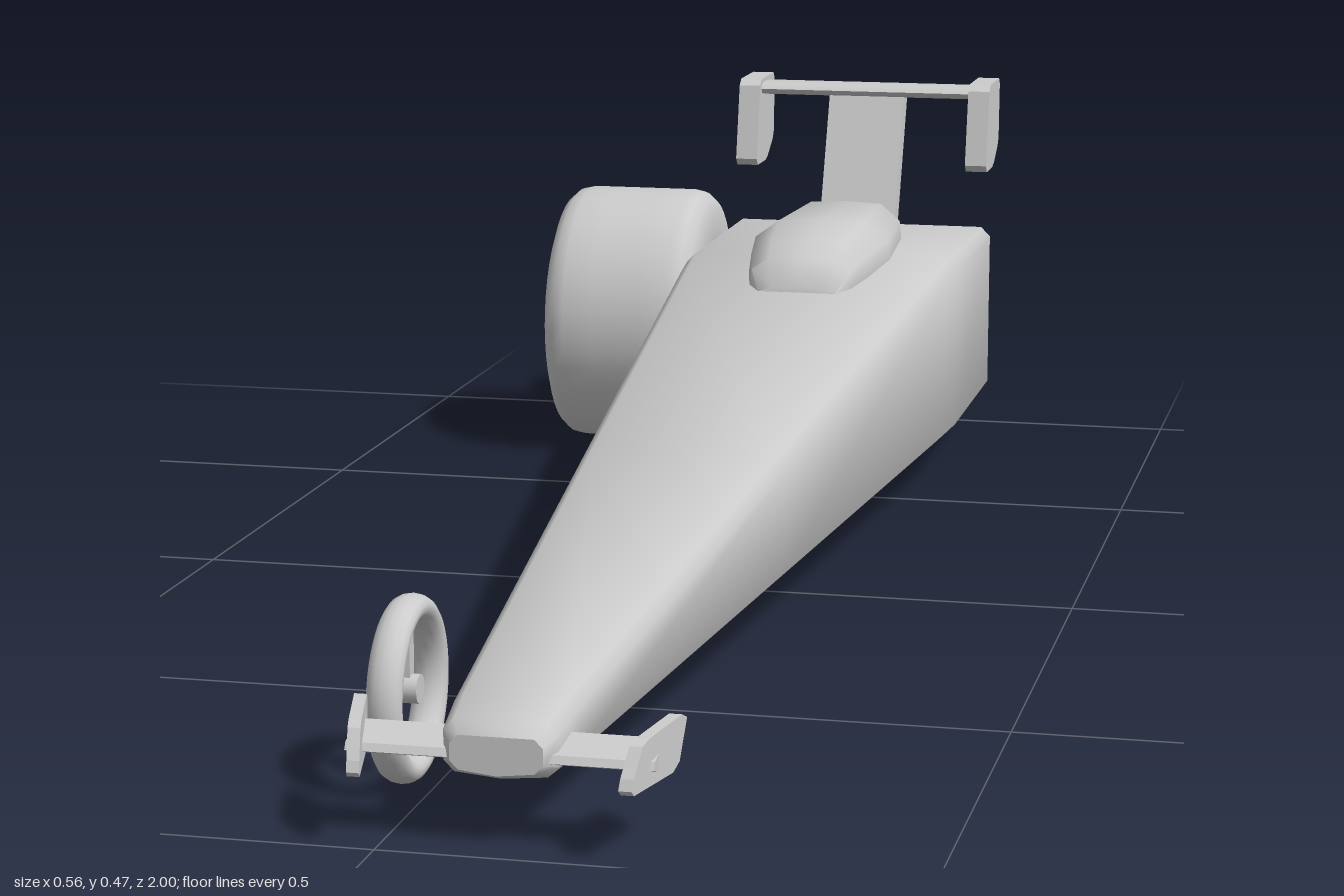
import * as THREE from 'three';
import { toCreasedNormals } from 'three/addons/utils/BufferGeometryUtils.js';

const CX = 0.105; // centre line of the body
const material = new THREE.MeshStandardMaterial({ color: 0xcccccc });

// Skin a row of cross-sections [[x, y], ...] (counter-clockwise, z increasing) and cap both ends.
function loft(sections, crease) {
  const n = sections[0].pts.length, last = (sections.length - 1) * n;
  const pos = [], index = [];
  for (const s of sections) for (const [x, y] of s.pts) pos.push(x, y, s.z);
  for (let i = 0; i < last; i += n) {
    for (let j = 0; j < n; j++) {
      const a = i + j, b = i + (j + 1) % n;
      index.push(a, b, a + n, b, b + n, a + n);
    }
  }
  for (let j = 1; j < n - 1; j++) {
    index.push(0, j + 1, j, last, last + j, last + j + 1);
  }
  const g = new THREE.BufferGeometry();
  g.setAttribute('position', new THREE.Float32BufferAttribute(pos, 3));
  g.setIndex(index);
  return toCreasedNormals(g, crease);
}

// Extrude a side profile of [z, y] points from x0 to x1.
function sidePlate(profile, x0, x1) {
  const shape = new THREE.Shape(profile.map(([z, y]) => new THREE.Vector2(-z, y)));
  const g = new THREE.ExtrudeGeometry(shape, { depth: x1 - x0, bevelEnabled: false });
  return g.rotateY(Math.PI / 2).translate(x0, 0, 0);
}

// Octagon with small corner chamfers and a slightly bowed floor
function bodySection([z, w, y0, y1, c]) {
  return { z, pts: [
    [0, y0 - 0.004], [w - c, y0], [w, y0 + c], [w, y1 - c], [w - c, y1],
    [c - w, y1], [-w, y1 - c], [-w, y0 + c], [c - w, y0],
  ] };
}

// Low dome sitting on the body
function canopySection([z, w, top]) {
  const base = 0.25;
  return { z, pts: [
    [w * 0.93, base], [w, base + (top - base) * 0.4], [w * 0.96, base + (top - base) * 0.72],
    [w * 0.62, top - 0.002], [0, top], [-w * 0.62, top - 0.002],
    [-w * 0.96, base + (top - base) * 0.72], [-w, base + (top - base) * 0.4], [-w * 0.93, base],
  ] };
}

export function createModel() {
  const model = new THREE.Group();
  model.name = 'dragster';
  const add = (name, geometry, x = 0, y = 0, z = 0) => {
    const mesh = new THREE.Mesh(geometry, material);
    mesh.name = name;
    mesh.position.set(x, y, z);
    model.add(mesh);
    return mesh;
  };

  // Long wedge body: z, half width, bottom, top, chamfer
  add('body', loft([
    [-0.905, 0.166, 0.077, 0.280, 0.010],
    [-0.893, 0.173, 0.069, 0.288, 0.012],
    [-0.600, 0.173, 0.068, 0.288, 0.012],
    [-0.540, 0.169, 0.068, 0.282, 0.012],
    [0.200, 0.112, 0.067, 0.202, 0.011],
    [0.900, 0.058, 0.066, 0.126, 0.010],
    [0.955, 0.053, 0.067, 0.116, 0.010],
    [0.972, 0.043, 0.074, 0.106, 0.008],
  ].map(bodySection), 0.85), CX);

  // Canopy: z, half width, top
  add('canopy', loft([
    [-0.822, 0.050, 0.285],
    [-0.808, 0.066, 0.310],
    [-0.775, 0.074, 0.334],
    [-0.600, 0.088, 0.335],
    [-0.510, 0.075, 0.324],
    [-0.460, 0.064, 0.309],
    [-0.432, 0.050, 0.278],
  ].map(canopySection), 0.9), CX);

  // Rear wing on its leaning support
  add('rearWingSupport', sidePlate(
    [[-0.85, 0.27], [-0.88, 0.27], [-0.957, 0.46], [-0.927, 0.46]], -0.05, 0.05), CX);
  add('rearWing', toCreasedNormals(sidePlate([
    [-0.908, 0.462], [-0.914, 0.468], [-0.93, 0.47], [-0.96, 0.469],
    [-0.988, 0.463], [-0.988, 0.459], [-0.96, 0.454], [-0.93, 0.453], [-0.914, 0.456],
  ], -0.145, 0.145), 0.8), CX);
  for (const [name, x] of [['rearWingEndLeft', 0.140], ['rearWingEndRight', -0.168]]) {
    add(name, sidePlate([
      [-0.90, 0.467], [-0.912, 0.475], [-0.992, 0.475], [-1.0, 0.467], [-0.997, 0.395],
      [-0.988, 0.384], [-0.955, 0.366], [-0.94, 0.362], [-0.888, 0.362], [-0.879, 0.371],
    ], x, x + 0.028), CX);
  }

  // Front wing with toed-in end plates
  add('frontWing', sidePlate([
    [0.966, 0.083], [0.962, 0.090], [0.920, 0.100], [0.914, 0.096], [0.914, 0.088], [0.955, 0.079],
  ], -0.142, 0.142), CX);
  for (const side of [1, -1]) {
    const g = sidePlate([
      [1.0, 0.073], [0.996, 0.083], [0.978, 0.108], [0.965, 0.112],
      [0.900, 0.117], [0.890, 0.112], [0.905, 0.075], [0.918, 0.068], [0.995, 0.068],
    ], -0.006, 0.006);
    const p = g.attributes.position;
    for (let i = 0; i < p.count; i++) {
      p.setX(i, p.getX(i) + side * (0.149 - 0.23 * (p.getZ(i) - 0.89)));
    }
    g.computeVertexNormals();
    add(side > 0 ? 'frontWingEndLeft' : 'frontWingEndRight', g, CX);
  }

  // Wide rear tyre with dished hubs: half profile of [radius, axial], mirrored
  const half = [
    [0.166, 0.030], [0.166, 0.068], [0.163, 0.082], [0.153, 0.093], [0.135, 0.099],
    [0.110, 0.101], [0.085, 0.099], [0.072, 0.094], [0.064, 0.070], [0.058, 0.058],
    [0.034, 0.056], [0.031, 0.078], [0.022, 0.087], [0, 0.090],
  ];
  const profile = [...half.map(([r, a]) => [r, -a]).reverse(), ...half]
    .map(([r, a]) => new THREE.Vector2(r, a));
  add('rearWheel', toCreasedNormals(
    new THREE.LatheGeometry(profile, 40).rotateZ(Math.PI / 2), 0.8), -0.177, 0.17, -0.812);

  // Thin front wheel: ring, single spoke and hub
  const front = new THREE.Group();
  front.name = 'frontWheel';
  front.position.set(-0.0295, 0.093, 0.79);
  const part = (name, geometry) => {
    const mesh = new THREE.Mesh(geometry, material);
    mesh.name = name;
    front.add(mesh);
  };
  part('frontTyre', new THREE.TorusGeometry(0.077, 0.0125, 14, 48)
    .scale(1, 1, 1.38).rotateY(Math.PI / 2));
  part('frontSpoke', new THREE.BoxGeometry(0.008, 0.072, 0.014).translate(0, 0.034, 0));
  part('frontHub', new THREE.CylinderGeometry(0.014, 0.014, 0.024, 20).rotateZ(Math.PI / 2));
  model.add(front);

  return model;
}
